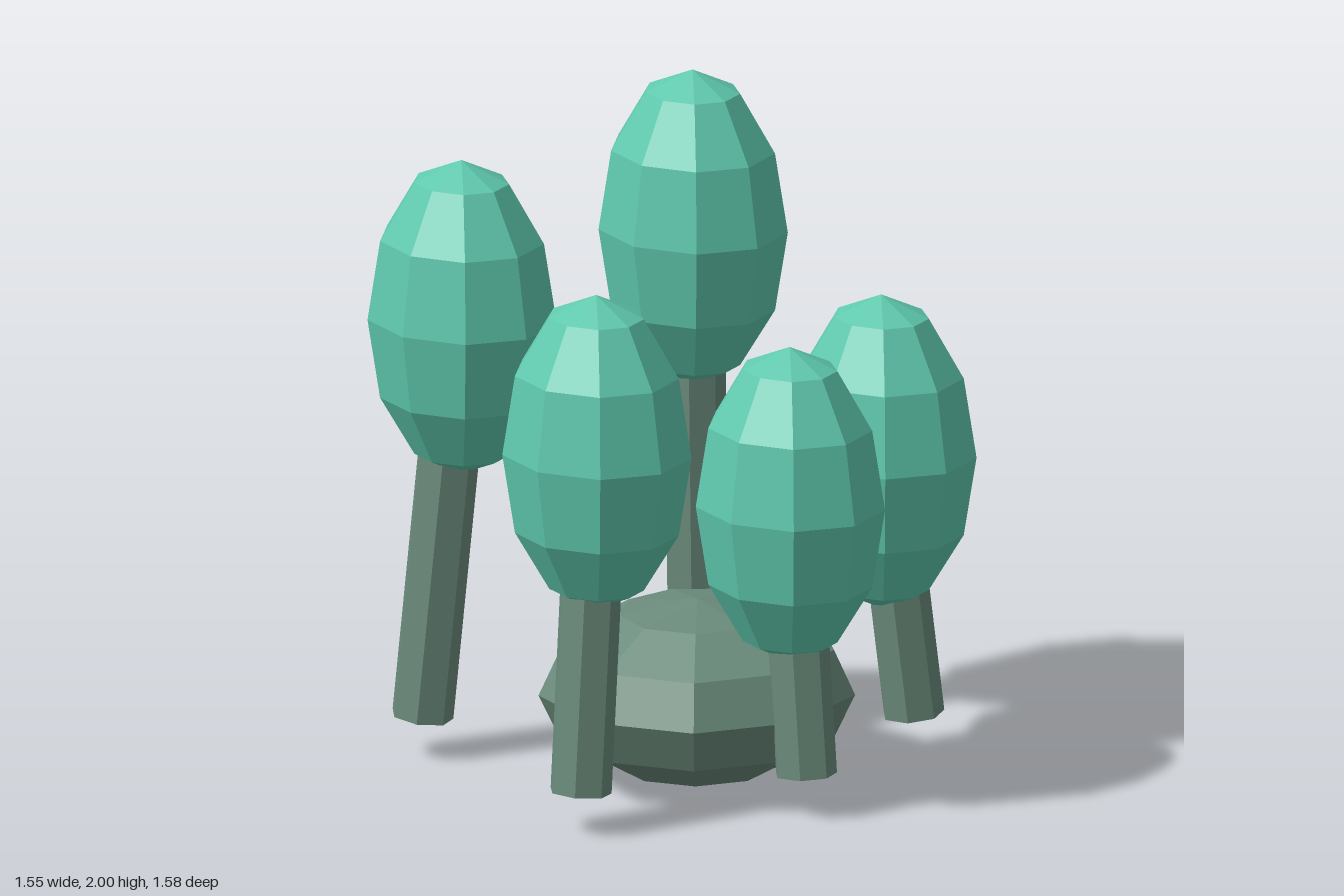
import * as THREE from 'three';

export function createModel() {
  const group = new THREE.Group();
  const leaf = new THREE.MeshStandardMaterial({ color: 0x5fc9ae, flatShading: true });
  leaf.name = 'leaf green';
  const bark = new THREE.MeshStandardMaterial({ color: 0x6b8c7c, flatShading: true });
  bark.name = 'grey green';

  // Nine-sided ball with a corner on +x, stretched by the mesh scale
  const ball = new THREE.SphereGeometry(1, 9, 6, Math.PI);

  function addBall(name, material, position, scale) {
    const mesh = new THREE.Mesh(ball, material);
    mesh.name = name;
    mesh.position.set(...position);
    mesh.scale.set(...scale);
    group.add(mesh);
  }

  // Central boulder
  addBall('boulder', bark, [0.06, 0.266, 0], [0.453, 0.264, 0.467]);

  // Each tree: crown centre, then foot of the leaning trunk
  const trees = [
    [[-0.25, 1.53, -0.237], [-0.305, 0.12, -0.302]],
    [[-0.504, 1.325, 0.413], [-0.595, 0.12, 0.485]],
    [[0.246, 1.12, 0.53], [0.27, 0.12, 0.61]],
    [[0.476, 0.915, 0], [0.547, 0.12, 0]],
    [[0.246, 0.915, -0.53], [0.28, 0.12, -0.62]],
  ];
  const up = new THREE.Vector3(0, 1, 0);

  for (const [crown, foot] of trees) {
    addBall('crown', leaf, crown, [0.293, 0.47, 0.264]);

    // Seven-sided trunk from the foot into the crown
    const bottom = new THREE.Vector3(...foot);
    const axis = new THREE.Vector3(...crown).sub(bottom);
    const length = axis.length();
    const trunk = new THREE.Mesh(
      new THREE.CylinderGeometry(0.096, 0.096, length, 7, 1, false, Math.PI / 2), bark);
    trunk.name = 'trunk';
    trunk.scale.z = 0.91;
    trunk.position.copy(bottom).addScaledVector(axis, 0.5);
    trunk.quaternion.setFromUnitVectors(up, axis.normalize());
    group.add(trunk);
  }

  return group;
}
